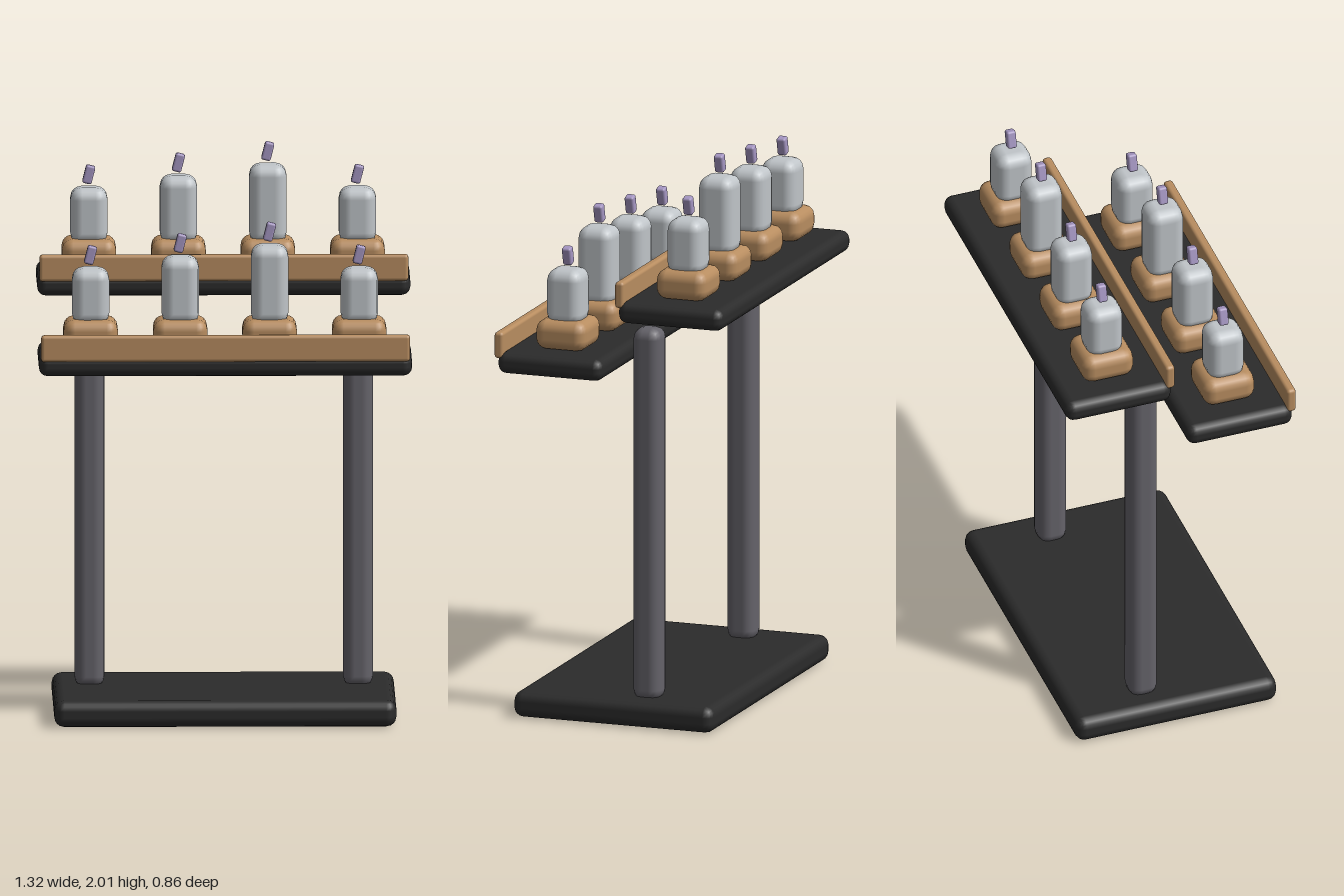
import * as THREE from 'three';
import { RoundedBoxGeometry } from 'three/addons/geometries/RoundedBoxGeometry.js';

function material(name, color) {
  const m = new THREE.MeshStandardMaterial({ color });
  m.name = name;
  return m;
}

export function createModel() {
  const model = new THREE.Group();
  model.name = 'displayRack';

  const black = material('black board', 0x2b2b2b);
  const grey = material('grey post', 0x65636a);
  const wood = material('wood', 0xb88d60);
  const glass = material('pale glass', 0xc0c5c9);
  const violet = material('violet stopper', 0xa596c2);

  // Rounded block standing on y, centred on x and z
  function block(parent, name, mat, [w, h, d], [x, y, z], radius) {
    const mesh = new THREE.Mesh(new RoundedBoxGeometry(w, h, d, 2, radius), mat);
    mesh.name = name;
    mesh.position.set(x, y + h / 2, z);
    parent.add(mesh);
    return mesh;
  }

  // Foot board and the two posts
  block(model, 'footBoard', black, [1.21, 0.095, 0.755], [0, 0, 0.005], 0.036);
  for (const side of [-1, 1]) {
    const name = side > 0 ? 'leftPost' : 'rightPost';
    block(model, name, grey, [0.106, 1.355, 0.106], [side * 0.475, 0.08, -0.09], 0.04);
  }

  // Bottle on a wooden plinth with a tilted stopper
  function bottle(parent, x, height) {
    const group = new THREE.Group();
    group.name = 'bottle';
    group.position.set(x, 0.077, 0);
    block(group, 'plinth', wood, [0.192, 0.108, 0.192], [0, 0, 0], 0.04);
    block(group, 'bottleBody', glass, [0.132, height + 0.02, 0.134], [0, 0.085, 0], 0.042);
    const stopper = block(group, 'stopper', violet, [0.034, 0.066, 0.034],
      [0, 0.117 + height - 0.001, 0], 0.008);
    stopper.rotation.z = -0.25;
    parent.add(group);
  }

  // Shelf with a front rail and four bottles
  function tier(name, y, z) {
    const shelf = new THREE.Group();
    shelf.name = name;
    shelf.position.set(0, y, z);
    block(shelf, 'shelfBoard', black, [1.32, 0.078, 0.395], [0, 0, 0.005], 0.032);
    block(shelf, 'frontRail', wood, [1.305, 0.095, 0.034], [0, 0.055, 0.197], 0.012);
    const heights = [0.182, 0.224, 0.264, 0.182];
    const places = [-0.475, -0.158, 0.158, 0.475];
    places.forEach((x, i) => bottle(shelf, x, heights[i]));
    model.add(shelf);
  }
  tier('lowerShelf', 1.26, 0.218);
  tier('upperShelf', 1.481, -0.237);

  return model;
}
